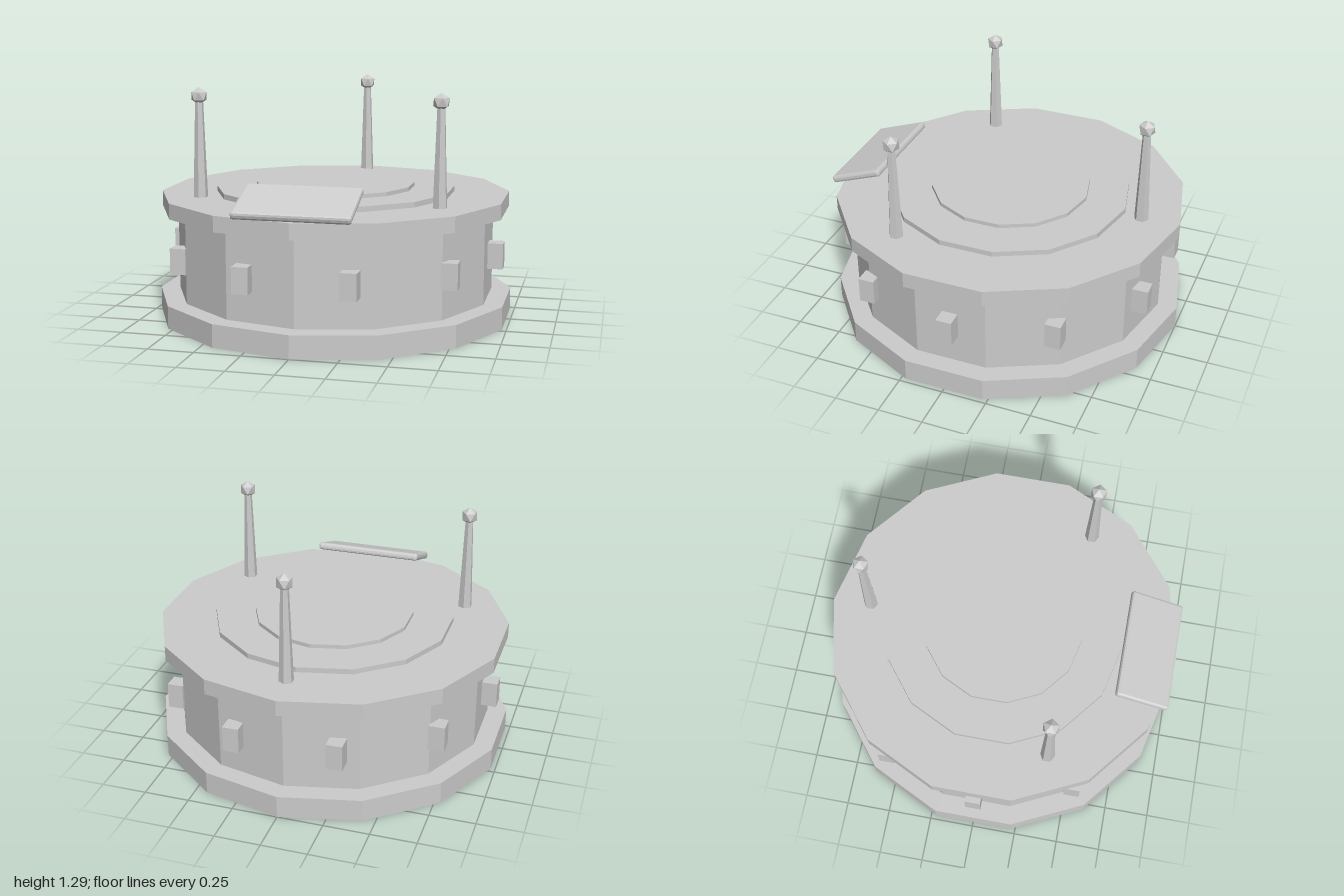
import * as THREE from 'three';
import { RoundedBoxGeometry } from 'three/addons/geometries/RoundedBoxGeometry.js';

const SIDES = 14;
const material = new THREE.MeshStandardMaterial({ color: 0xcccccc, flatShading: true });

function addMesh(parent, name, geometry, x = 0, y = 0, z = 0) {
  const mesh = new THREE.Mesh(geometry, material);
  mesh.name = name;
  mesh.position.set(x, y, z);
  parent.add(mesh);
  return mesh;
}

// Upright faceted disc between two heights
function addDisc(parent, name, radius, bottom, top) {
  const geometry = new THREE.CylinderGeometry(radius, radius, top - bottom, SIDES);
  return addMesh(parent, name, geometry, 0, (bottom + top) / 2, 0);
}

export function createModel() {
  const model = new THREE.Group();
  model.name = 'drumPlatform';

  // Stacked drum
  addDisc(model, 'base', 1.0, 0.02, 0.145);
  addDisc(model, 'drumWall', 0.892, 0.145, 0.62);
  addDisc(model, 'topRim', 0.98, 0.62, 0.706);
  addDisc(model, 'outerStep', 0.67, 0.706, 0.735);
  addDisc(model, 'innerStep', 0.445, 0.735, 0.757);

  // Ten square-on blocks around the wall
  const blocks = new THREE.Group();
  blocks.name = 'wallBlocks';
  model.add(blocks);
  const blockGeometry = new THREE.BoxGeometry(0.088, 0.143, 0.088);
  for (let i = 0; i < 10; i++) {
    const a = (i / 10) * Math.PI * 2;
    addMesh(blocks, 'wallBlock', blockGeometry, Math.cos(a) * 0.91, 0.382, Math.sin(a) * 0.91);
  }

  // Three tapered masts with faceted balls, each ball standing on a vertex
  const poleGeometry = new THREE.CylinderGeometry(0.022, 0.04, 0.534, 6);
  const ballGeometry = new THREE.IcosahedronGeometry(0.048, 0);
  ballGeometry.rotateZ(-Math.atan(2 / (1 + Math.sqrt(5))));
  for (let i = 0; i < 3; i++) {
    const a = THREE.MathUtils.degToRad(31.3 + i * 120);
    const mast = new THREE.Group();
    mast.name = 'mast';
    mast.position.set(Math.cos(a) * 0.767, 0.706, Math.sin(a) * 0.767);
    addMesh(mast, 'mastPole', poleGeometry, 0, 0.267, 0);
    addMesh(mast, 'mastBall', ballGeometry, 0, 0.554, 0);
    model.add(mast);
  }

  // Tilted chamfered panel at the front edge
  const panel = addMesh(model, 'frontPanel', new RoundedBoxGeometry(0.62, 0.042, 0.315, 1, 0.014), 0, 0.777, 0.822);
  panel.rotation.x = 0.35;

  return model;
}
